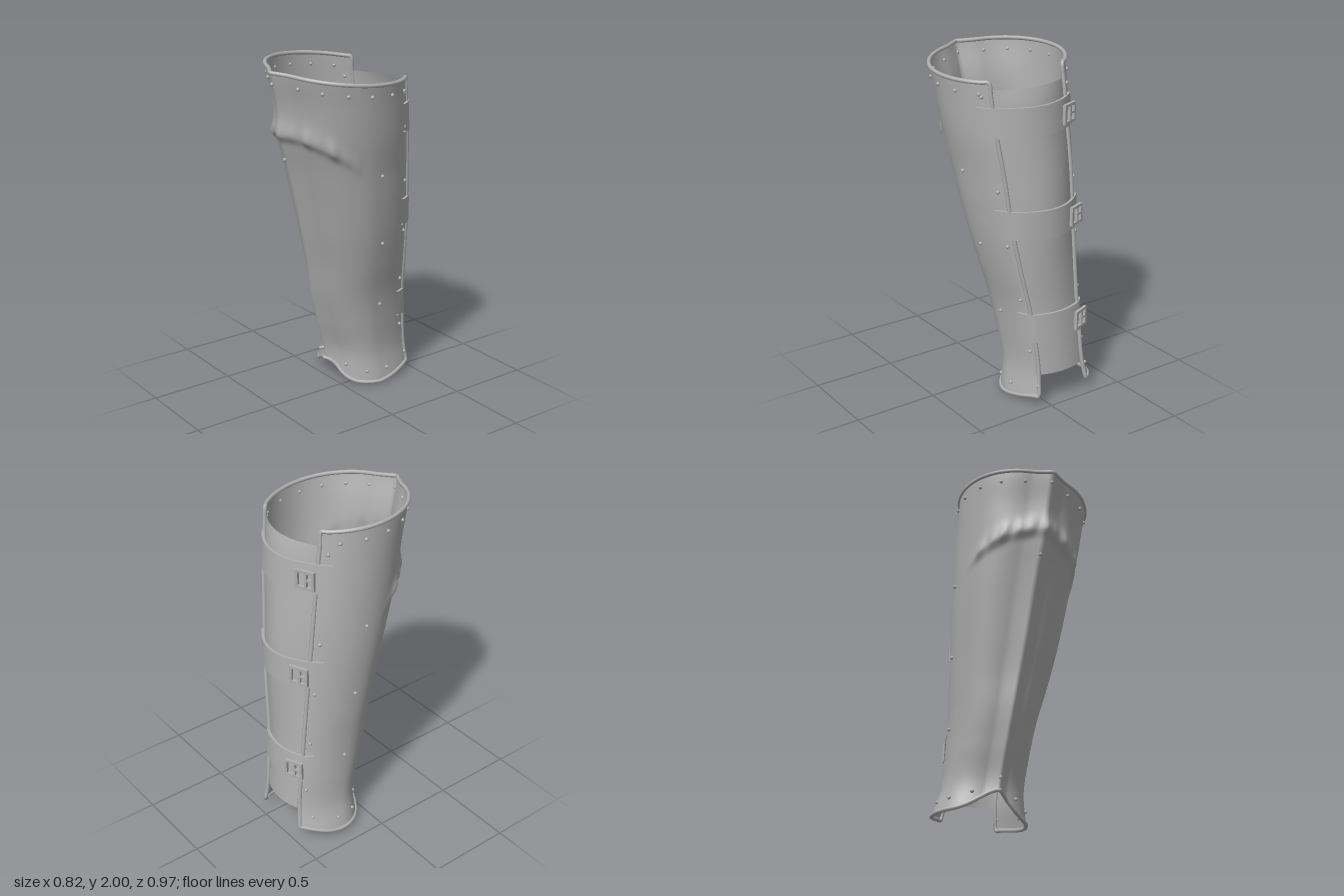
import * as THREE from 'three';
import { toCreasedNormals } from 'three/addons/utils/BufferGeometryUtils.js';

const steel = new THREE.MeshStandardMaterial({ color: 0xaeaeae, side: THREE.DoubleSide });
steel.name = 'grey steel';

// Smooth profile through values spaced every 0.2 in height
const profile = (values) => {
  const curve = new THREE.SplineCurve(values.map((v, i) => new THREE.Vector2(i, v)));
  return (y) => curve.getPoint(THREE.MathUtils.clamp(y / 2, 0, 1)).y;
};
const xMin = profile([-0.42, -0.365, -0.355, -0.355, -0.365, -0.375, -0.385, -0.39, -0.39, -0.39, -0.39]);
const xMax = profile([0.13, 0.105, 0.12, 0.15, 0.2, 0.245, 0.28, 0.31, 0.345, 0.37, 0.392]);
const zFront = profile([0.04, 0.035, 0.09, 0.145, 0.185, 0.235, 0.285, 0.34, 0.4, 0.43, 0.475]);
const zSide = profile([-0.23, -0.2, -0.17, -0.14, -0.11, -0.08, -0.05, -0.02, 0, 0.03, 0.05]);
const zEdge = profile([-0.46, -0.44, -0.42, -0.395, -0.375, -0.355, -0.335, -0.315, -0.29, -0.265, -0.24]);
const zBack = profile([-0.495, -0.475, -0.455, -0.44, -0.435, -0.435, -0.43, -0.41, -0.385, -0.36, -0.29]);

const KEEL = 0.045;
// Angle from the front to the open back edge on each side
const edgeAngle = (side, y) => Math.PI - Math.asin(side > 0 ? 0.78 - 0.05 * y : 0.57 + 0.015 * y);

// Point on the shin plate: angle a from the front, height y, outward offset
function platePoint(a, y, off = 0) {
  const side = a < 0 ? -1 : 1;
  const x0 = xMin(y), x1 = xMax(y), zc = zSide(y);
  const cx = (x0 + x1) / 2, hw = (x1 - x0) / 2;
  const front = Math.abs(a) < Math.PI / 2;
  const depth = front ? zFront(y) - KEEL - zc : (zEdge(y) - zc) / Math.cos(edgeAngle(side, y));
  const n = new THREE.Vector2(Math.sin(a) / hw, Math.cos(a) / depth).normalize();
  // knee fold, arched across the front
  const d = y - (1.62 - 0.12 * a * a);
  const fade = 1 - THREE.MathUtils.smoothstep(Math.abs(a), 0.8, 1.35);
  const ripple = 1 + 0.3 * Math.sin(a * 17) + 0.2 * Math.sin(a * 31 + 1);
  const o = off + 0.02 * fade * ripple * Math.exp(-((d / (d > 0 ? 0.07 : 0.03)) ** 2));
  const keel = KEEL * Math.max(0, 1 - Math.abs(a) / 0.3) ** 1.5;
  return new THREE.Vector3(cx + hw * Math.sin(a) + n.x * o, y, zc + depth * Math.cos(a) + keel + n.y * o);
}
const topY = (a) => 1.95 - 0.032 * Math.sin(a) + 0.026 * Math.cos(a);
const bottomY = (a) => 0.028 + 0.112 * Math.exp(-((a / 0.5) ** 2)) - 0.012 * Math.sin(a)
  + 0.045 * THREE.MathUtils.smoothstep(Math.abs(a), 1.5, 2.5);

// Plate point from s (-1..1 around) and t (0..1 upward)
function plateST(s, t, off = 0) {
  const bottom = bottomY(s * 2.4), top = topY(s * 2.4);
  const y = bottom + (top - bottom) * t;
  return platePoint(s * edgeAngle(s, y), y, off);
}

// Point on the closing back panel: u = 1 at the +x edge, -1 at the -x edge
function backPoint(u, y, off = 0) {
  const p = platePoint(edgeAngle(1, y), y), q = platePoint(-edgeAngle(-1, y), y);
  const bulge = zBack(y) - zEdge(y), hx = (p.x - q.x) / 2;
  const n = new THREE.Vector2(-2 * u * bulge / hx, -1).normalize();
  return new THREE.Vector3((p.x + q.x) / 2 + hx * u + n.x * off, y, zEdge(y) + bulge * (1 - u * u) + n.y * off);
}

// Surface grid from a rule giving a point for column i and row j
function grid(nu, nv, point) {
  const pos = [], idx = [];
  for (let j = 0; j <= nv; j++) for (let i = 0; i <= nu; i++) pos.push(...point(i / nu, j / nv).toArray());
  for (let j = 0; j < nv; j++) for (let i = 0; i < nu; i++) {
    const a = j * (nu + 1) + i, b = a + nu + 1;
    idx.push(a, a + 1, b + 1, a, b + 1, b);
  }
  const g = new THREE.BufferGeometry();
  g.setAttribute('position', new THREE.Float32BufferAttribute(pos, 3));
  g.setIndex(idx);
  g.computeVertexNormals();
  return g;
}

export function createModel() {
  const model = new THREE.Group();
  const add = (name, geometry, parent = model) => {
    const m = new THREE.Mesh(geometry, steel);
    m.name = name;
    parent.add(m);
    return m;
  };

  add('shinPlate', grid(120, 130, (u, v) => plateST(u * 2 - 1, v)));
  add('backPanel', grid(28, 40, (u, v) => backPoint(1.12 - 2.24 * u, 0.19 + 1.68 * v, -0.006)));

  // Rolled rim around the whole border
  const border = [];
  const N = 60, M = 24;
  for (let i = 0; i < N; i++) border.push(plateST(-1 + 2 * i / N, 0));
  for (let i = 0; i < M; i++) border.push(plateST(1, i / M));
  for (let i = 0; i < N; i++) border.push(plateST(1 - 2 * i / N, 1));
  for (let i = 0; i < M; i++) border.push(plateST(-1, 1 - i / M));
  add('rolledRim', new THREE.TubeGeometry(new THREE.CatmullRomCurve3(border, true), 480, 0.012, 8, true));

  // Straps across the back, lapping onto both plate edges
  const strapPoint = (k, y, off) => {
    if (k < 0.15) return platePoint(edgeAngle(1, y) - 0.22 * (1 - k / 0.15), y, off);
    if (k > 0.85) return platePoint(-edgeAngle(-1, y) + 0.22 * (k - 0.85) / 0.15, y, off);
    return backPoint(0.95 - 1.9 * (k - 0.15) / 0.7, y, off);
  };
  const strapHeights = [0.485, 1.11, 1.69];
  for (const yc of strapHeights) {
    const section = [[-0.083, 0], [-0.083, 0.015], [0.083, 0.015], [0.083, 0]];
    const strap = grid(40, 3, (u, v) => {
      const [dy, off] = section[Math.round(v * 3)];
      return strapPoint(u, yc + dy, off);
    });
    add('strap', toCreasedNormals(strap, 0.7));

    // Square buckle with a centre bar and a tongue
    const buckle = new THREE.Group();
    buckle.name = 'buckle';
    const bar = (name, w, h, x, y) => add(name, new THREE.BoxGeometry(w, h, 0.018), buckle).position.set(x, y, 0);
    for (const s of [-1, 1]) {
      bar('buckleSide', 0.016, 0.11, s * 0.05, 0);
      bar('buckleRail', 0.116, 0.016, 0, s * 0.048);
    }
    bar('buckleBar', 0.014, 0.1, 0.005, 0);
    bar('buckleTongue', 0.06, 0.012, 0.025, 0);
    buckle.position.copy(backPoint(-0.82, yc, 0.035));
    buckle.rotation.y = Math.PI + 0.4;
    model.add(buckle);
  }

  // Rivets
  const head = new THREE.SphereGeometry(0.011, 10, 8);
  const rivet = (a, y) => add('rivet', head).position.copy(platePoint(a, y, 0.003));
  for (let i = 0; i < 13; i++) {
    const a = -2.22 + 0.37 * i;
    rivet(a, topY(a) - 0.065);
  }
  for (let i = -4; i <= 4; i++) rivet(i * 0.56, bottomY(i * 0.56) + 0.07);
  rivet(0, 1.47);
  for (const s of [-1, 1]) {
    for (const y of [1.38, 0.95, 0.53]) rivet(s * 1.66, y);
    for (const y of [1.83, 1.63, 1.3, 0.98, 0.65, 0.33]) rivet(s * (edgeAngle(s, y) - 0.13), y);
  }
  return model;
}
